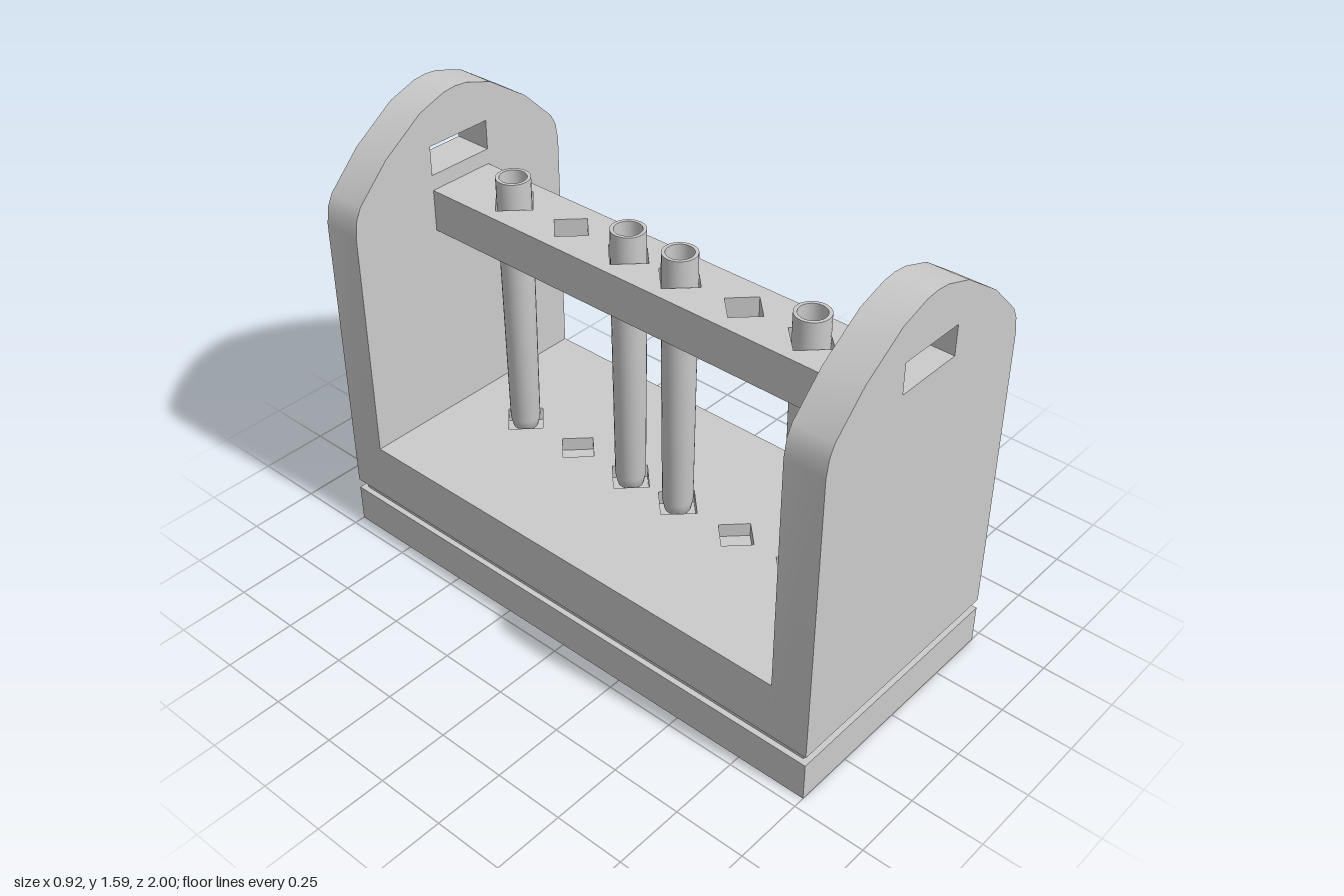
import * as THREE from 'three';
import { toCreasedNormals } from 'three/addons/utils/BufferGeometryUtils.js';

const mat = new THREE.MeshStandardMaterial({ color: 0xcccccc });
const W = 0.46, INNER = 0.86;
const tubeZ = [-0.61, -0.11, 0.1, 0.6], emptyZ = [-0.355, 0.35];

function add(parent, name, geo, x = 0, y = 0, z = 0) {
  const m = new THREE.Mesh(geo, mat);
  m.name = name;
  m.position.set(x, y, z);
  parent.add(m);
  return m;
}

function slab(name, parent, w, d, y0, y1) {
  return add(parent, name, new THREE.BoxGeometry(w, y1 - y0, d), 0, (y0 + y1) / 2, 0);
}

function poly(Type, pts) {
  return new Type(pts.map(([x, y]) => new THREE.Vector2(x, y)));
}

const rect = (hw, y0, y1) => [[-hw, y0], [hw, y0], [hw, y1], [-hw, y1]];

// Horizontal plate pierced by a row of diamond sockets
function piercedPlate(hw, thickness) {
  const s = poly(THREE.Shape, rect(hw, -INNER, INNER));
  const hole = (z, r) => s.holes.push(poly(THREE.Path, [[-r, -z], [0, r - z], [r, -z], [0, -r - z]]));
  tubeZ.forEach(z => hole(z, 0.085));
  emptyZ.forEach(z => hole(z, 0.075));
  return new THREE.ExtrudeGeometry(s, { depth: thickness, bevelEnabled: false }).rotateX(-Math.PI / 2);
}

// Arched end panel with a rectangular hand slot
function panelGeometry() {
  const arch = [[W, 1.22], [0.45, 1.28], [0.43, 1.32], [0.31, 1.44], [0.155, 1.545], [0.05, 1.58]];
  const left = arch.map(([x, y]) => [-x, y]).reverse();
  const s = poly(THREE.Shape, [[-W, 0.175], [W, 0.175], ...arch, [0, 1.585], ...left]);
  s.holes.push(poly(THREE.Path, rect(0.125, 1.31, 1.415)));
  const g = new THREE.ExtrudeGeometry(s, { depth: 1 - INNER, bevelEnabled: false });
  return toCreasedNormals(g, 0.6);
}

// Hollow tapered tube with a rounded foot
function tubeGeometry() {
  const p = [
    [0, 0.34], [0.028, 0.345], [0.044, 0.362], [0.052, 0.4],
    [0.058, 1.1], [0.058, 1.345], [0.046, 1.345], [0.045, 1.1],
    [0.04, 0.42], [0.034, 0.38], [0.022, 0.365], [0, 0.36],
  ].map(([r, y]) => new THREE.Vector2(r, y));
  return toCreasedNormals(new THREE.LatheGeometry(p, 24), 0.9);
}

export function createModel() {
  const model = new THREE.Group();
  model.name = 'testTubeRack';

  // Stepped base with a recessed groove
  const base = new THREE.Group();
  base.name = 'base';
  model.add(base);
  slab('basePlate', base, 2 * W, 2, 0, 0.14);
  slab('baseGroove', base, 0.88, 1.955, 0.14, 0.175);
  slab('trayBody', base, 2 * W, 2 * INNER, 0.175, 0.33);
  add(base, 'trayTop', piercedPlate(W, 0.05), 0, 0.33, 0);

  // End panels
  const panel = panelGeometry();
  add(model, 'frontPanel', panel, 0, 0, INNER);
  add(model, 'backPanel', panel, 0, 0, -1);

  // Crossbar holding the tubes upright
  add(model, 'crossbar', piercedPlate(0.125, 0.15), 0, 1.105, 0);

  // Tubes
  const tube = tubeGeometry();
  tubeZ.forEach(z => add(model, 'tube', tube, 0, 0, z));
  return model;
}
